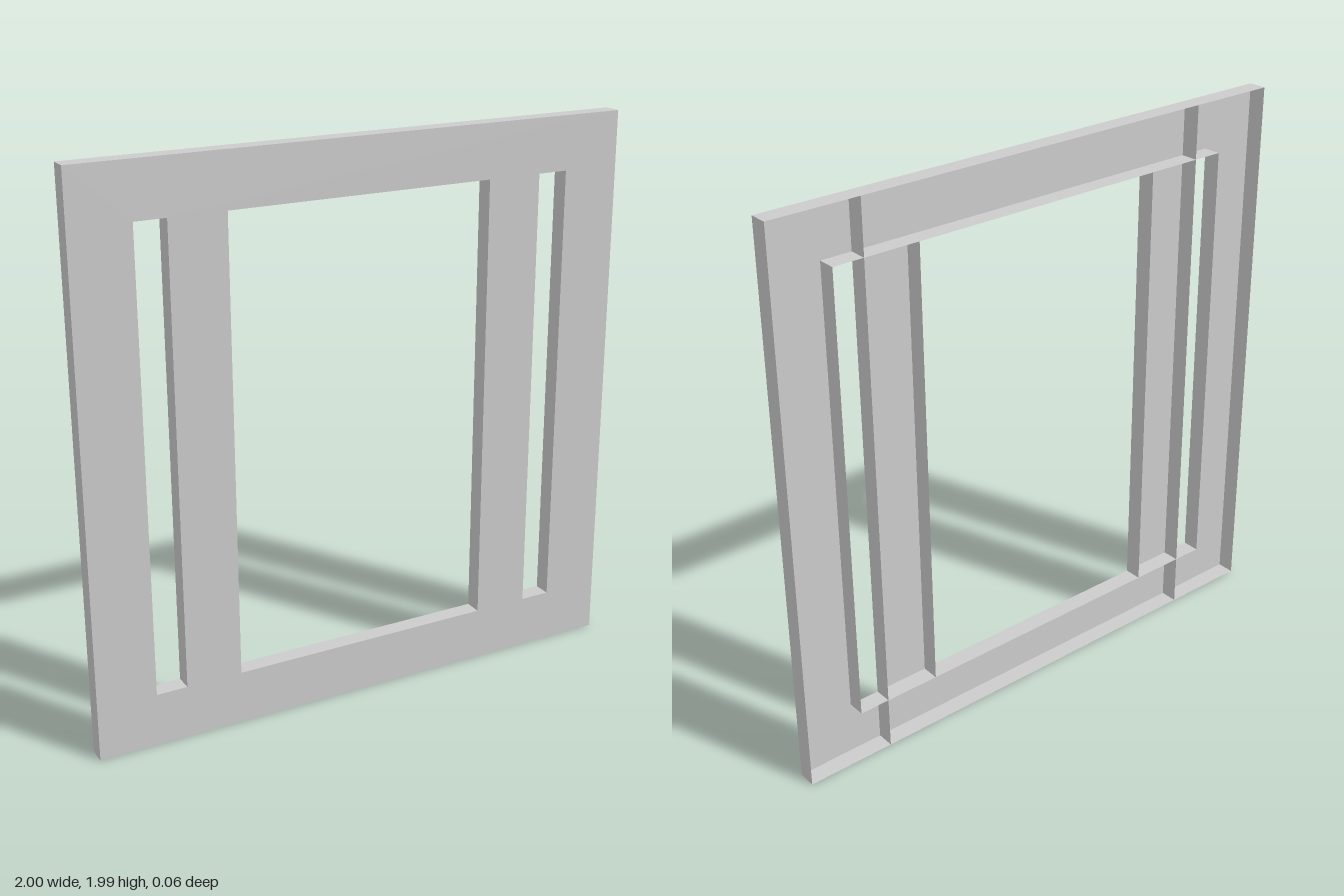
import * as THREE from 'three';

const H = 1.99, D = 0.064;          // height and depth
const LOW = 0.19, HIGH = 1.8;       // bottom and top of the openings
const X_OUT = 1, X_SLOT = 0.79, X_POST = 0.68, X_OPEN = 0.48;

const material = new THREE.MeshStandardMaterial({
  color: 0xcccccc, flatShading: true, side: THREE.DoubleSide,
});

function rectangle(path, x0, y0, x1, y1) {
  path.moveTo(x0, y0).lineTo(x1, y0).lineTo(x1, y1).lineTo(x0, y1).closePath();
  return path;
}

export function createModel() {
  const group = new THREE.Group();
  group.name = 'windowFrame';

  const add = (name, geometry) => {
    const mesh = new THREE.Mesh(geometry, material);
    mesh.name = name;
    group.add(mesh);
    return mesh;
  };

  // Thin walls running the depth of the frame
  const uprightWall = (name, x, y0, y1) => {
    const wall = add(name, new THREE.PlaneGeometry(D, y1 - y0).rotateY(Math.PI / 2));
    wall.position.set(x, (y0 + y1) / 2, 0);
  };
  const levelWall = (name, y, halfWidth, up) => {
    const wall = add(name, new THREE.PlaneGeometry(2 * halfWidth, D).rotateX(up ? -Math.PI / 2 : Math.PI / 2));
    wall.position.set(0, y, 0);
  };

  // Front plate with the wide opening and two side slots; the back is open
  const plate = rectangle(new THREE.Shape(), -X_OUT, 0, X_OUT, H);
  plate.holes.push(
    rectangle(new THREE.Path(), -X_OPEN, LOW, X_OPEN, HIGH),
    rectangle(new THREE.Path(), X_POST, LOW, X_SLOT, HIGH),
    rectangle(new THREE.Path(), -X_SLOT, LOW, -X_POST, HIGH),
  );
  add('frontPlate', new THREE.ShapeGeometry(plate)).position.z = D / 2;

  // Outer edges, full-height dividers and the sides of the openings
  for (const s of [-1, 1]) {
    uprightWall('outerSide', s * X_OUT, 0, H);
    uprightWall('slotSide', s * X_SLOT, LOW, HIGH);
    uprightWall('divider', s * X_POST, 0, H);
    uprightWall('openingSide', s * X_OPEN, LOW, HIGH);
  }

  // Top and bottom edges and the rails above and below the openings
  levelWall('topEdge', H, X_OUT, true);
  levelWall('bottomEdge', 0, X_OUT, false);
  levelWall('topRail', HIGH, X_SLOT, false);
  levelWall('bottomRail', LOW, X_SLOT, true);

  return group;
}
